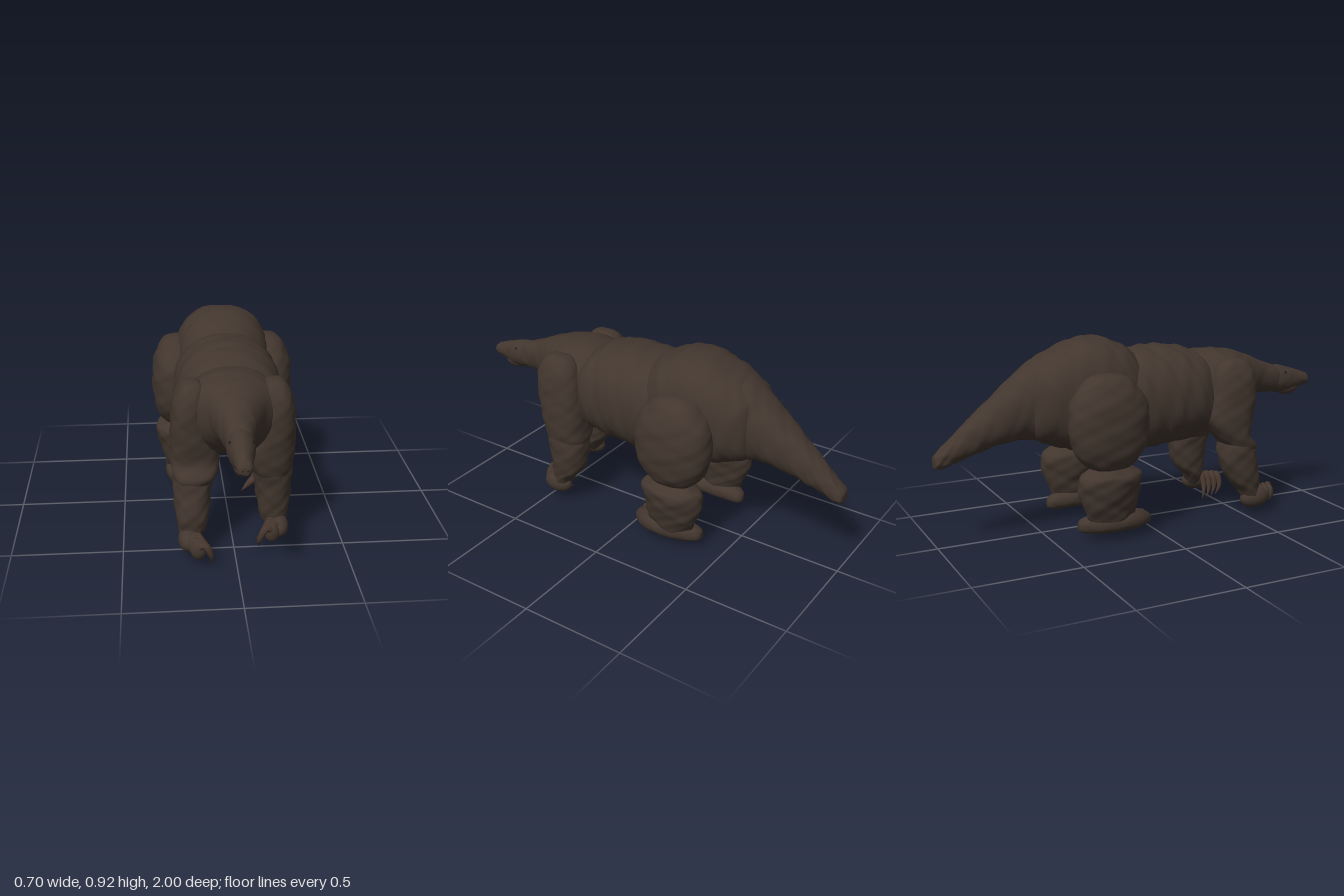
import * as THREE from 'three';

const fur = new THREE.MeshStandardMaterial({ color: 0x42362e });
fur.name = 'brown fur';
const horn = new THREE.MeshStandardMaterial({ color: 0x46362e });
horn.name = 'claw horn';
const dark = new THREE.MeshStandardMaterial({ color: 0x1e1815 });
dark.name = 'dark eye';

// Smooth interpolation through rows of numbers
function sample(rows, u) {
  const last = rows.length - 1;
  const i = Math.min(Math.floor(u), last - 1), f = u - i;
  const row = (k) => rows[Math.max(0, Math.min(last, k))];
  return rows[0].map((_, c) => {
    const p = [-1, 0, 1, 2].map((k) => row(i + k)[c]);
    const m0 = (p[2] - p[0]) / 2, m1 = (p[3] - p[1]) / 2;
    return (2 * f ** 3 - 3 * f * f + 1) * p[1] + (f ** 3 - 2 * f * f + f) * m0
      + (3 * f * f - 2 * f ** 3) * p[2] + (f ** 3 - f * f) * m1;
  });
}

// Closed skin over rings [t, a0, a1, b0, b1], t rising.
// Axis 'z': a is x, b is y.  Axis 'y': a is z, b is x.
function loft(name, axis, rows, bump = 0.003, power = 0.9) {
  const N = 40, steps = 6, M = (rows.length - 1) * steps;
  const pos = [], idx = [];
  const put = (a, b, t) => (axis === 'z' ? pos.push(a, b, t) : pos.push(b, t, a));
  const soft = (v) => Math.sign(v) * Math.abs(v) ** power;
  for (let i = 0; i <= M; i++) {
    const [t, a0, a1, b0, b1] = sample(rows, i / steps);
    for (let j = 0; j < N; j++) {
      const th = (j / N) * Math.PI * 2;
      const c = Math.cos(th), s = Math.sin(th);
      const n = bump * (Math.sin(t * 53 + 2) * Math.sin(4 * th + t * 9) + Math.sin(t * 97) * Math.sin(7 * th + 1) * 0.7);
      put((a0 + a1) / 2 + soft(c) * ((a1 - a0) / 2 + n),
        (b0 + b1) / 2 + soft(s) * ((b1 - b0) / 2 + n), t);
    }
  }
  for (let i = 0; i < M; i++) {
    for (let j = 0; j < N; j++) {
      const k = (j + 1) % N, p = i * N + j, q = i * N + k;
      idx.push(p, q, q + N, p, q + N, p + N);
    }
  }
  // End caps
  const first = rows[0], end = rows[rows.length - 1], base = (M + 1) * N;
  for (const r of [first, end]) put((r[1] + r[2]) / 2, (r[3] + r[4]) / 2, r[0]);
  for (let j = 0; j < N; j++) {
    const k = (j + 1) % N;
    idx.push(base, k, j, base + 1, M * N + j, M * N + k);
  }
  const g = new THREE.BufferGeometry();
  g.setAttribute('position', new THREE.Float32BufferAttribute(pos, 3));
  g.setIndex(idx);
  g.computeVertexNormals();
  const mesh = new THREE.Mesh(g, fur);
  mesh.name = name;
  return mesh;
}

// Symmetric trunk section: rows [z, halfWidth, bottom, top]
const trunk = (name, rows, bump, power) =>
  loft(name, 'z', rows.map(([z, w, b, t]) => [z, -w, w, b, t]), bump, power);

function ball(name, p, r, mat = fur) {
  const mesh = new THREE.Mesh(new THREE.SphereGeometry(1, 28, 20), mat);
  mesh.name = name;
  mesh.position.set(...p);
  mesh.scale.set(...r);
  return mesh;
}

// Curved, tapering claw
function claw(name, points, radius) {
  const curve = new THREE.CatmullRomCurve3(points.map((p) => new THREE.Vector3(...p)));
  const segs = 14, sides = 10;
  const g = new THREE.TubeGeometry(curve, segs, radius, sides);
  const p = g.attributes.position, v = new THREE.Vector3();
  for (let i = 0; i <= segs; i++) {
    const c = curve.getPointAt(i / segs), s = Math.max(0.04, 1 - (i / segs) ** 2.2);
    for (let j = 0; j <= sides; j++) {
      const k = i * (sides + 1) + j;
      v.fromBufferAttribute(p, k).sub(c).multiplyScalar(s).add(c);
      p.setXYZ(k, v.x, v.y, v.z);
    }
  }
  g.computeVertexNormals();
  const mesh = new THREE.Mesh(g, horn);
  mesh.name = name;
  return mesh;
}

// Order an inner and outer x for one side of the body
const sided = (s, i, o) => [Math.min(s * i, s * o), Math.max(s * i, s * o)];

// Leg rows [y, z0, z1, inner, outer]
const limb = (name, s, rows, bump, power) => loft(name, 'y',
  rows.map(([y, z0, z1, i, o]) => [y, z0, z1, ...sided(s, i, o)]), bump, power);

// Foot rows [z, inner, outer, bottom, top]
const foot = (name, s, rows) => loft(name, 'z',
  rows.map(([z, i, o, b, t]) => [z, ...sided(s, i, o), b, t]), 0.001);

export function createModel() {
  const model = new THREE.Group();
  model.name = 'shaggyBeast';

  // Trunk in overlapping masses
  model.add(
    trunk('tail', [[-1, 0.025, 0.38, 0.425], [-0.99, 0.04, 0.372, 0.44], [-0.95, 0.046, 0.378, 0.475],
      [-0.88, 0.058, 0.402, 0.54], [-0.78, 0.08, 0.435, 0.625], [-0.66, 0.108, 0.462, 0.725],
      [-0.58, 0.125, 0.465, 0.79], [-0.5, 0.15, 0.45, 0.838], [-0.38, 0.15, 0.44, 0.83]]),
    trunk('pelvis', [[-0.58, 0.06, 0.56, 0.7], [-0.57, 0.12, 0.5, 0.76], [-0.53, 0.17, 0.46, 0.81],
      [-0.42, 0.208, 0.42, 0.872], [-0.26, 0.228, 0.37, 0.921], [-0.14, 0.225, 0.36, 0.898],
      [-0.05, 0.19, 0.39, 0.845], [0, 0.1, 0.5, 0.74]], 0.004, 0.82),
    trunk('barrel', [[-0.2, 0.2, 0.4, 0.8], [-0.08, 0.235, 0.36, 0.84], [0.05, 0.245, 0.37, 0.857],
      [0.17, 0.245, 0.38, 0.853], [0.29, 0.225, 0.4, 0.82], [0.38, 0.15, 0.47, 0.74]], 0.005),
    trunk('shouldersAndNeck', [[0.2, 0.14, 0.48, 0.76], [0.28, 0.2, 0.42, 0.8], [0.38, 0.225, 0.42, 0.818],
      [0.46, 0.213, 0.45, 0.815], [0.52, 0.175, 0.49, 0.805], [0.57, 0.133, 0.525, 0.79],
      [0.62, 0.105, 0.56, 0.772], [0.7, 0.075, 0.57, 0.735], [0.78, 0.06, 0.57, 0.708],
      [0.83, 0.046, 0.575, 0.69]], 0.002),
    trunk('head', [[0.74, 0.04, 0.59, 0.69], [0.79, 0.058, 0.565, 0.706], [0.85, 0.055, 0.558, 0.695],
      [0.9, 0.044, 0.568, 0.68], [0.95, 0.036, 0.582, 0.662], [0.985, 0.031, 0.59, 0.648],
      [1, 0.016, 0.6, 0.632]], 0.001, 1),
    ball('lowerJaw', [0, 0.581, 0.87], [0.037, 0.036, 0.068]),
  );

  for (const s of [1, -1]) {
    const side = s > 0 ? 'left' : 'right';
    const add = (...m) => model.add(...m);

    // Face
    add(ball(side + 'Eye', [s * 0.045, 0.667, 0.833], [0.007, 0.007, 0.007], dark),
      ball(side + 'Nostril', [s * 0.011, 0.618, 0.997], [0.005, 0.004, 0.004], dark));

    // Hind leg
    add(limb(side + 'Thigh', s, [[0.335, -0.3, -0.2, 0.2, 0.27], [0.36, -0.36, -0.14, 0.16, 0.305],
      [0.43, -0.42, -0.08, 0.13, 0.335], [0.54, -0.445, -0.06, 0.12, 0.347], [0.65, -0.435, -0.07, 0.12, 0.34],
      [0.73, -0.385, -0.125, 0.13, 0.31], [0.765, -0.34, -0.17, 0.15, 0.28], [0.78, -0.28, -0.23, 0.18, 0.24]]),
    limb(side + 'Shin', s, [[0.06, -0.32, -0.16, 0.18, 0.27], [0.11, -0.35, -0.125, 0.165, 0.285],
      [0.18, -0.385, -0.11, 0.15, 0.308], [0.26, -0.405, -0.098, 0.135, 0.328], [0.31, -0.4, -0.092, 0.135, 0.333],
      [0.333, -0.37, -0.12, 0.16, 0.31], [0.37, -0.3, -0.19, 0.2, 0.27]], 0.004, 1.06),
    foot(side + 'HindFoot', s, [[-0.392, 0.18, 0.21, 0.055, 0.09], [-0.37, 0.162, 0.235, 0.042, 0.108],
      [-0.3, 0.152, 0.27, 0.035, 0.125], [-0.2, 0.148, 0.29, 0.035, 0.132], [-0.11, 0.142, 0.275, 0.035, 0.122],
      [-0.05, 0.14, 0.235, 0.038, 0.1], [-0.02, 0.155, 0.2, 0.045, 0.08]]),
    claw(side + 'HindClaw', [[s * 0.2, 0.068, -0.09], [s * 0.145, 0.075, -0.045],
      [s * 0.08, 0.035, -0.002]], 0.026),
    claw(side + 'HindSpur', [[s * 0.2, 0.07, -0.12], [s * 0.15, 0.065, -0.1],
      [s * 0.13, 0.03, -0.08]], 0.018));

    // Foreleg: the right one reaches further forward
    const d = s > 0 ? 0 : 0.1;
    add(limb(side + 'UpperArm', s, [[0.3, 0.33 + d, 0.48 + d / 2, 0.13, 0.25],
      [0.36, 0.29 + d, 0.505 + d / 2, 0.08, 0.268], [0.42, 0.29 + d / 2, 0.518, 0.06, 0.278],
      [0.5, 0.29, 0.53, 0.075, 0.28], [0.58, 0.297, 0.54, 0.1, 0.277], [0.67, 0.31, 0.542, 0.115, 0.27],
      [0.73, 0.325, 0.53, 0.12, 0.255], [0.775, 0.36, 0.5, 0.135, 0.228], [0.79, 0.41, 0.46, 0.16, 0.2]], 0.002, 0.83),
    limb(side + 'Forearm', s, [[0.07, 0.4 + d, 0.465 + d, 0.165, 0.235], [0.13, 0.37 + d, 0.47 + d, 0.125, 0.25],
      [0.19, 0.315 + d, 0.48 + d, 0.113, 0.262], [0.29, 0.29 + d * 0.8, 0.49 + d * 0.7, 0.1, 0.27],
      [0.37, 0.3 + d * 0.7, 0.5 + d * 0.4, 0.09, 0.27], [0.45, 0.36 + d * 0.5, 0.46, 0.13, 0.24]], 0.003),
    ball(side + 'Hand', [s * 0.207, 0.085, 0.455 + d], [0.046, 0.05, 0.078]));

    // Fingers and hooked claws
    for (let i = 0; i < 4; i++) {
      const z = (s > 0 ? 0.455 : 0.575) + i * (s > 0 ? 0.026 : 0.03), x = 0.195 - i * 0.009;
      add(ball(side + 'Finger' + i, [s * x, 0.088, z], [0.034, 0.044, 0.022]),
        claw(side + 'FrontClaw' + i, [[s * x, 0.1, z], [s * (x - 0.026), 0.117, z + 0.012],
          [s * (x - 0.055), 0.065, z + 0.014], [s * (0.105 + i * 0.002), 0.002 + i * 0.004, z - 0.012]], 0.018));
    }
  }
  return model;
}
